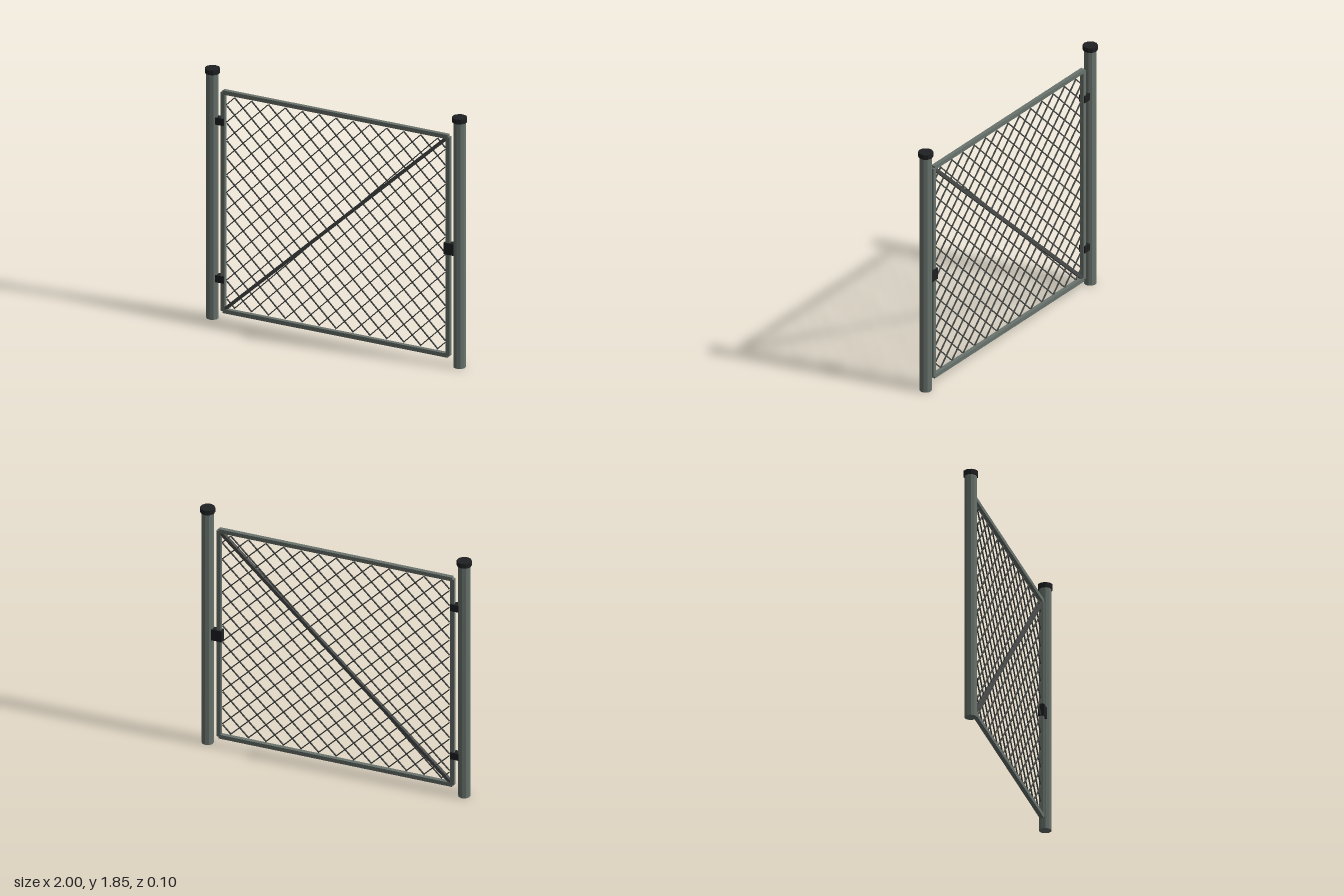
import * as THREE from 'three';

const material = (name, color) => {
  const m = new THREE.MeshStandardMaterial({ color, flatShading: true });
  m.name = name;
  return m;
};

export function createModel() {
  const paintedSteel = material('greyGreenSteel', 0x69736d);
  const wireSteel = material('darkGreyWire', 0x4a4d4b);
  const blackFittings = material('blackFittings', 0x1e2021);

  const gate = new THREE.Group();
  gate.name = 'chainLinkGate';

  const add = (parent, name, geometry, mat, x, y, z = 0) => {
    const mesh = new THREE.Mesh(geometry, mat);
    mesh.name = name;
    mesh.position.set(x, y, z);
    parent.add(mesh);
    return mesh;
  };
  // Straight square bar between two points in the gate plane
  const bar = (parent, name, width, depth, mat, a, b, z = 0) => {
    const length = Math.hypot(b[0] - a[0], b[1] - a[1]);
    const mesh = add(parent, name, new THREE.BoxGeometry(width, length, depth), mat,
      (a[0] + b[0]) / 2, (a[1] + b[1]) / 2, z);
    mesh.rotation.z = Math.atan2(a[0] - b[0], b[1] - a[1]);
  };

  // Ten-sided posts with caps, and the upright frame bars
  const low = 0.07, high = 1.69, side = 0.865, section = 0.03;
  for (const s of [-1, 1]) {
    const label = s > 0 ? 'left' : 'right';
    add(gate, label + 'Post', new THREE.CylinderGeometry(0.0435, 0.0435, 1.82, 10),
      paintedSteel, s * 0.95, 0.91);
    add(gate, label + 'PostCap', new THREE.CylinderGeometry(0.0525, 0.0525, 0.035, 10),
      blackFittings, s * 0.95, 1.833);
    bar(gate, label + 'FrameBar', section, section, paintedSteel, [s * side, low], [s * side, high]);
  }

  // Top and bottom rails
  bar(gate, 'bottomRail', section, section, paintedSteel, [-side, low], [side, low]);
  bar(gate, 'topRail', section, section, paintedSteel, [-side, high], [side, high]);

  // Diagonal brace
  bar(gate, 'diagonalBrace', 0.025, 0.025, wireSteel, [-0.85, 0.085], [0.85, 1.675]);

  // Diamond mesh: two families of 45 degree wires clipped to the frame opening
  const mesh = new THREE.Group();
  mesh.name = 'wireMesh';
  gate.add(mesh);
  const w = 0.84, y0 = 0.1, y1 = 1.66, pitch = 0.13;
  for (const s of [-1, 1]) {
    for (let k = -18; k <= 18; k++) {
      // The wire meets the bottom edge at c and climbs towards s
      const c = k * pitch;
      const start = Math.max(0, -w - s * c);
      const end = Math.min(y1 - y0, w - s * c);
      if (end - start < 0.02) continue;
      bar(mesh, 'wire', 0.007, 0.009, wireSteel,
        [c + s * start, y0 + start], [c + s * end, y0 + end], s * 0.003);
    }
  }

  // Hinges on one post and the latch on the other
  for (const [name, y] of [['lowerHinge', 0.303], ['upperHinge', 1.471]])
    add(gate, name, new THREE.BoxGeometry(0.068, 0.052, 0.048), blackFittings, -0.888, y);
  add(gate, 'latch', new THREE.BoxGeometry(0.077, 0.085, 0.044), blackFittings, 0.877, 0.864);

  return gate;
}
